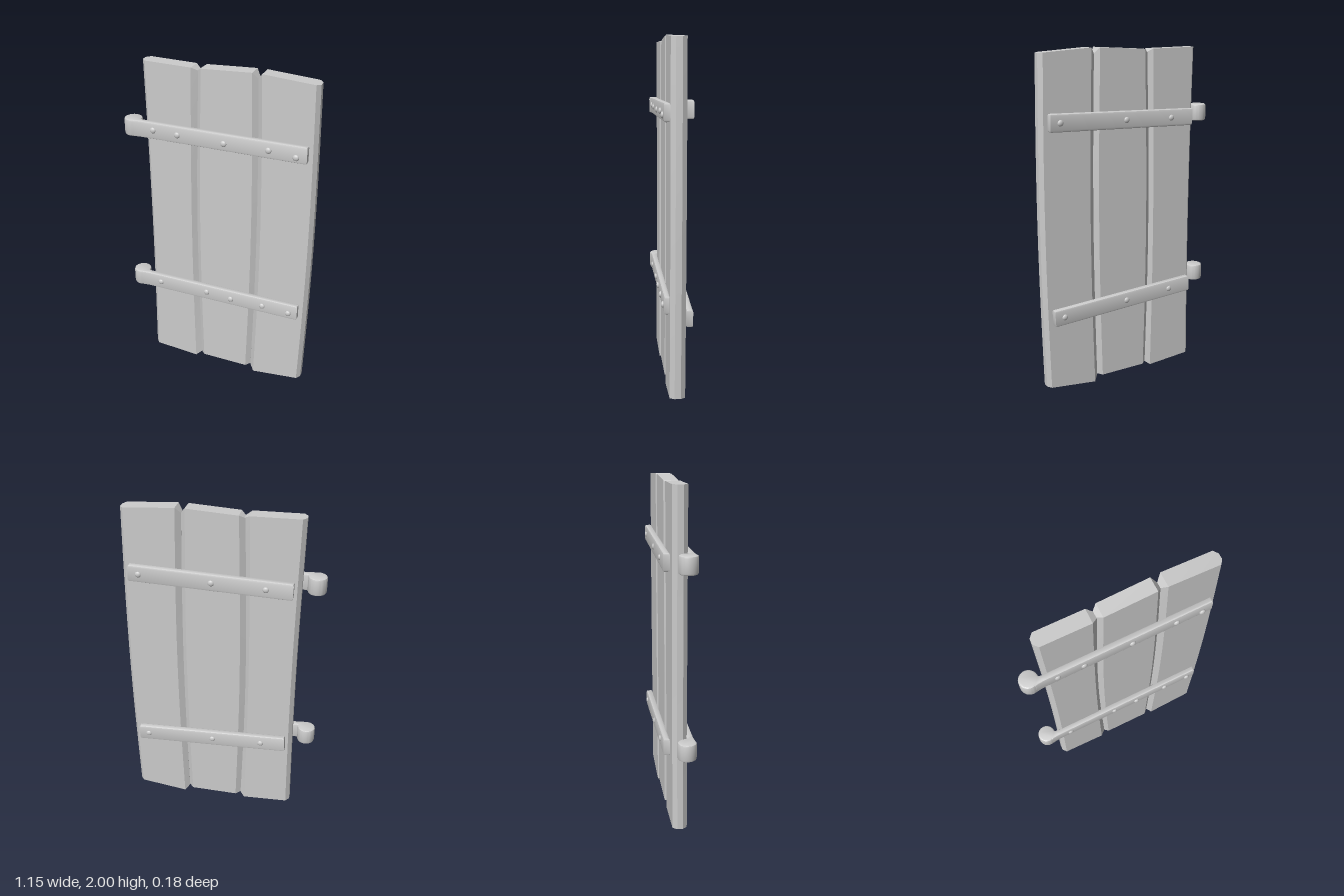
import * as THREE from 'three';
import { toCreasedNormals } from 'three/addons/utils/BufferGeometryUtils.js';

const material = new THREE.MeshStandardMaterial({ color: 0xcccccc });

function add(parent, name, geometry) {
  const mesh = new THREE.Mesh(geometry, material);
  mesh.name = name;
  parent.add(mesh);
  return mesh;
}

// Chamfered plank: four columns (edge, face, face, edge), each with x, mid-height bow, bottom y and top y
function plankGeometry({ x, bow, bottom, top, back, front }) {
  const rows = 16, positions = [], index = [];
  const mid = (back + front) / 2, half = (front - back) / 2;
  const columns = [0, 1, 2, 3, 3, 2, 1, 0];
  const depths = [0.4, 1, 1, 0.4, -0.4, -1, -1, -0.4];
  for (let j = 0; j <= rows; j++) {
    const t = j / rows, bend = Math.sin(Math.PI * t);
    columns.forEach((c, i) => positions.push(
      x[c] + bow[c] * bend,
      THREE.MathUtils.lerp(bottom[c], top[c], t),
      mid + half * depths[i] + 0.006 * (1 - t)));
  }
  for (let j = 0; j < rows; j++) {
    for (let i = 0; i < 8; i++) {
      const a = j * 8 + i, b = j * 8 + (i + 1) % 8;
      index.push(a, b, b + 8, a, b + 8, a + 8);
    }
  }
  // End caps, one quad per column pair
  const n = rows * 8;
  for (let i = 0; i < 3; i++) {
    const [a, b, c, d] = [i, i + 1, 6 - i, 7 - i];
    index.push(n + a, n + b, n + c, n + a, n + c, n + d);
    index.push(a, c, b, a, d, c);
  }
  const geometry = new THREE.BufferGeometry();
  geometry.setAttribute('position', new THREE.Float32BufferAttribute(positions, 3));
  geometry.setIndex(index);
  return toCreasedNormals(geometry, 0.5);
}

// Plan outline (x, z) extruded upwards with bevelled rims, centred on y = 0
function strapGeometry(shape) {
  const height = 0.1, bevel = 0.012;
  const geometry = new THREE.ExtrudeGeometry(shape, {
    depth: height - 2 * bevel, bevelThickness: bevel, bevelSize: 0.009,
    bevelOffset: -0.009, bevelSegments: 2, curveSegments: 16,
  });
  geometry.translate(0, 0, bevel - height / 2);
  geometry.rotateX(Math.PI / 2);
  return toCreasedNormals(geometry, 0.6);
}

// Hinge strap ending in a solid round knuckle
function hingeShape() {
  const shape = new THREE.Shape();
  shape.moveTo(0.525, 0.038);
  shape.lineTo(0.525, 0.072);
  shape.lineTo(-0.44, 0.077);
  shape.quadraticCurveTo(-0.48, 0.078, -0.503, 0.083);
  shape.absarc(-0.523, 0.032, 0.053, 1.2, Math.PI * 2, false);
  shape.quadraticCurveTo(-0.468, 0.039, -0.455, 0.039);
  shape.closePath();
  return shape;
}

function braceShape() {
  return new THREE.Shape([
    new THREE.Vector2(-0.405, -0.086), new THREE.Vector2(0.525, -0.086),
    new THREE.Vector2(0.525, -0.048), new THREE.Vector2(-0.405, -0.048),
  ]);
}

export function createModel() {
  const model = new THREE.Group();
  model.name = 'plankShutter';

  // Three bowed, unevenly cut planks
  const planks = [
    { name: 'rightPlank', x: [-0.45, -0.428, -0.152, -0.118], bow: [0.01, 0.01, -0.012, -0.02],
      bottom: [0.03, 0.028, 0.01, 0.035], top: [1.99, 1.99, 1.985, 1.965], back: -0.042, front: 0.042 },
    { name: 'middlePlank', x: [-0.125, -0.095, 0.195, 0.222], bow: [-0.018, -0.016, 0.016, 0.016],
      bottom: [0.035, 0.03, 0.03, 0.035], top: [1.965, 1.985, 2, 1.965], back: -0.046, front: 0.038 },
    { name: 'leftPlank', x: [0.222, 0.25, 0.54, 0.56], bow: [0.014, 0.018, 0.015, 0.015],
      bottom: [0.03, 0, 0.036, 0.038], top: [1.965, 2, 1.98, 1.977], back: -0.048, front: 0.038 },
  ];
  for (const plank of planks) add(model, plank.name, plankGeometry(plank));

  const rivetGeometry = new THREE.SphereGeometry(0.018, 16, 10);
  rivetGeometry.scale(1, 1, 0.6);
  const addRivets = (parent, points, z) => {
    for (const [x, y] of points) add(parent, 'rivet', rivetGeometry).position.set(x, y, z);
  };

  // Front hinge straps
  const hinge = strapGeometry(hingeShape());
  const hinges = [
    ['upperHinge', 1.595, [[-0.38, 0.005], [-0.23, 0], [0.05, -0.005], [0.31, 0], [0.465, -0.015]]],
    ['lowerHinge', 0.56, [[-0.375, 0], [-0.06, 0.005], [0.1, -0.005], [0.305, 0], [0.47, -0.008]]],
  ];
  for (const [name, y, rivets] of hinges) {
    const group = new THREE.Group();
    group.name = name;
    group.position.y = y;
    add(group, 'hingeStrap', hinge);
    addRivets(group, rivets, 0.075);
    model.add(group);
  }

  // Slightly tilted back braces
  const brace = strapGeometry(braceShape());
  for (const [name, y, tilt] of [['upperBrace', 1.596, 0.027], ['lowerBrace', 0.51, -0.052]]) {
    const group = new THREE.Group();
    group.name = name;
    group.position.y = y;
    group.rotation.z = tilt;
    add(group, 'braceStrap', brace);
    addRivets(group, [[-0.255, 0], [0.05, 0], [0.465, 0]], -0.084);
    model.add(group);
  }
  return model;
}
